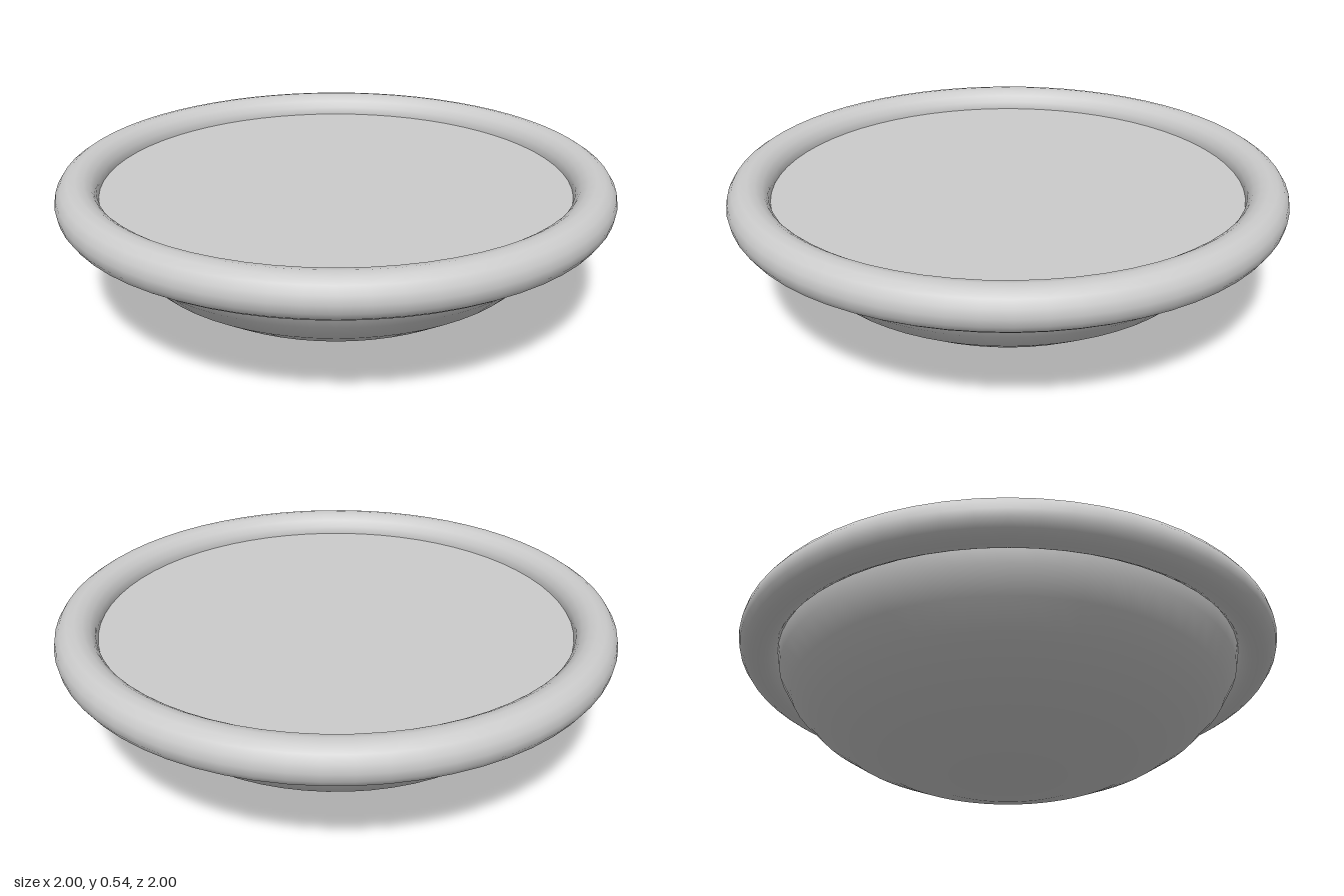
import * as THREE from 'three';

const RIM_Y = 0.465;   // height of the rim's centre line
const BOWL_R = 0.865;  // bowl radius, tucked just inside the rim

export function createModel() {
  const group = new THREE.Group();
  const material = new THREE.MeshStandardMaterial({ color: 0xcccccc });
  const add = (name, geometry) => {
    const mesh = new THREE.Mesh(geometry, material);
    mesh.name = name;
    mesh.position.y = RIM_Y;
    group.add(mesh);
    return mesh;
  };

  // Round rim lying flat
  add('rim', new THREE.TorusGeometry(0.925, 0.075, 16, 64).rotateX(Math.PI / 2));

  // Lower half of a flattened sphere
  const bowl = new THREE.SphereGeometry(1, 64, 8, 0, Math.PI * 2, Math.PI / 2, Math.PI / 2);
  add('bowl', bowl.scale(BOWL_R, RIM_Y, BOWL_R));

  // Flat surface closing the bowl at mid-rim height
  add('topSurface', new THREE.CircleGeometry(BOWL_R, 64).rotateX(-Math.PI / 2));

  return group;
}
